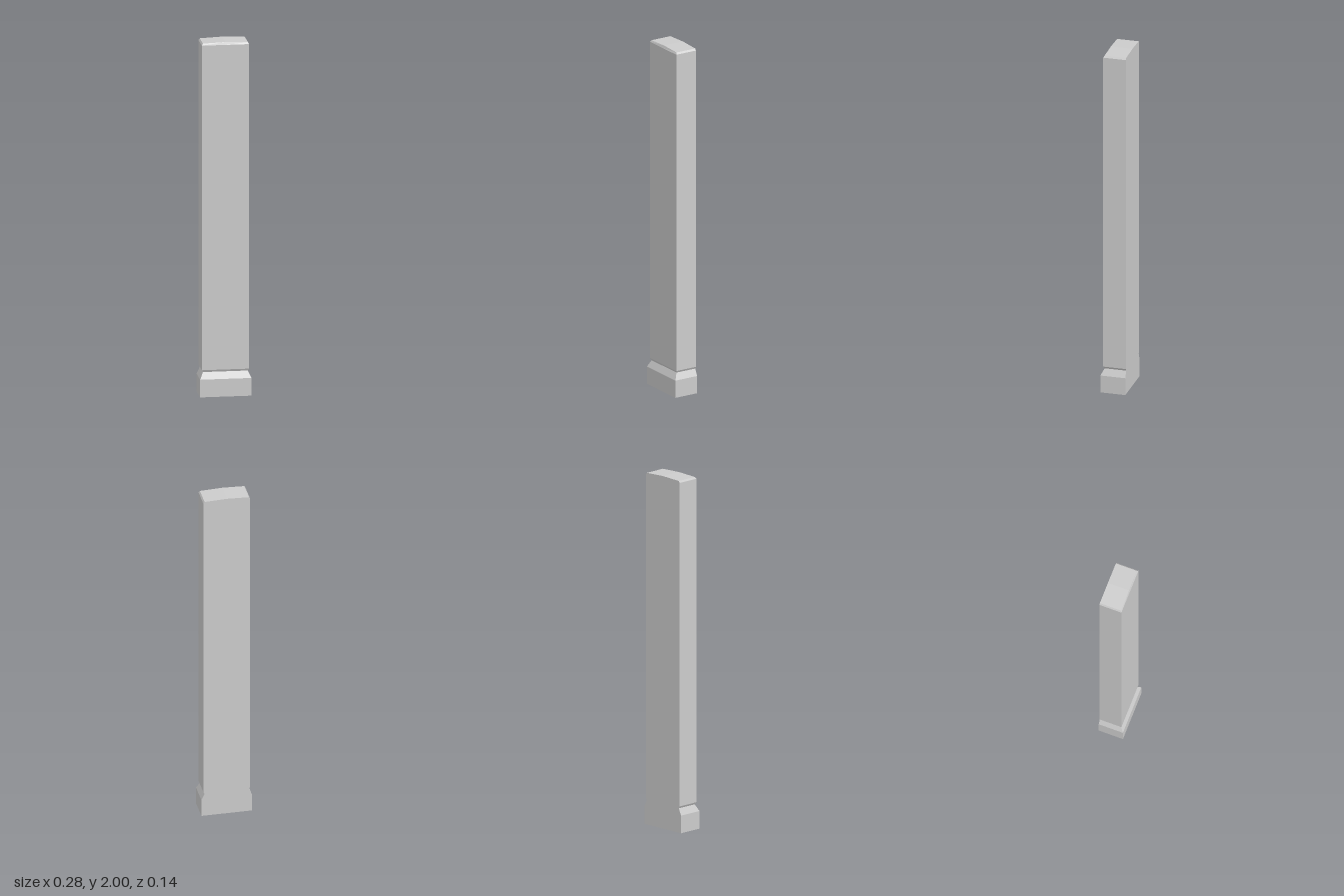
import * as THREE from 'three';

const BACK = -0.071;

// Stacks cross-sections [halfWidth, frontZ, y, yAtMiddle] into a flat-backed solid.
function stack(name, sections, material) {
  const positions = [];
  const quad = (a, b, c, d) => positions.push(...a, ...b, ...c, ...a, ...c, ...d);
  const rings = sections.map(([w, z, y, mid = y]) => [
    [-w, y, BACK], [-w, y, z], [0, mid, z], [w, y, z], [w, y, BACK], [0, mid, BACK],
  ]);
  for (let i = 0; i < rings.length - 1; i++) {
    const lo = rings[i], hi = rings[i + 1];
    for (let j = 0; j < 6; j++) {
      const k = (j + 1) % 6;
      quad(lo[j], lo[k], hi[k], hi[j]);
    }
  }
  // end caps
  const b = rings[0], t = rings[rings.length - 1];
  quad(b[5], b[2], b[1], b[0]);
  quad(b[4], b[3], b[2], b[5]);
  quad(t[0], t[1], t[2], t[5]);
  quad(t[5], t[2], t[3], t[4]);

  const geometry = new THREE.BufferGeometry();
  geometry.setAttribute('position', new THREE.Float32BufferAttribute(positions, 3));
  geometry.computeVertexNormals();
  const mesh = new THREE.Mesh(geometry, material);
  mesh.name = name;
  return mesh;
}

export function createModel() {
  const group = new THREE.Group();
  group.name = 'pilaster';
  const material = new THREE.MeshStandardMaterial({ color: 0xcccccc, flatShading: true });

  // plinth with a sloped shoulder
  group.add(stack('base', [
    [0.142, 0.071, 0],
    [0.142, 0.071, 0.1],
    [0.124, 0.052, 0.138],
  ], material));

  // shaft with bevelled ends and a slightly ridged top
  group.add(stack('shaft', [
    [0.124, 0.052, 0.138],
    [0.131, 0.058, 0.15],
    [0.131, 0.058, 1.985],
    [0.124, 0.052, 1.995, 2],
  ], material));

  return group;
}
